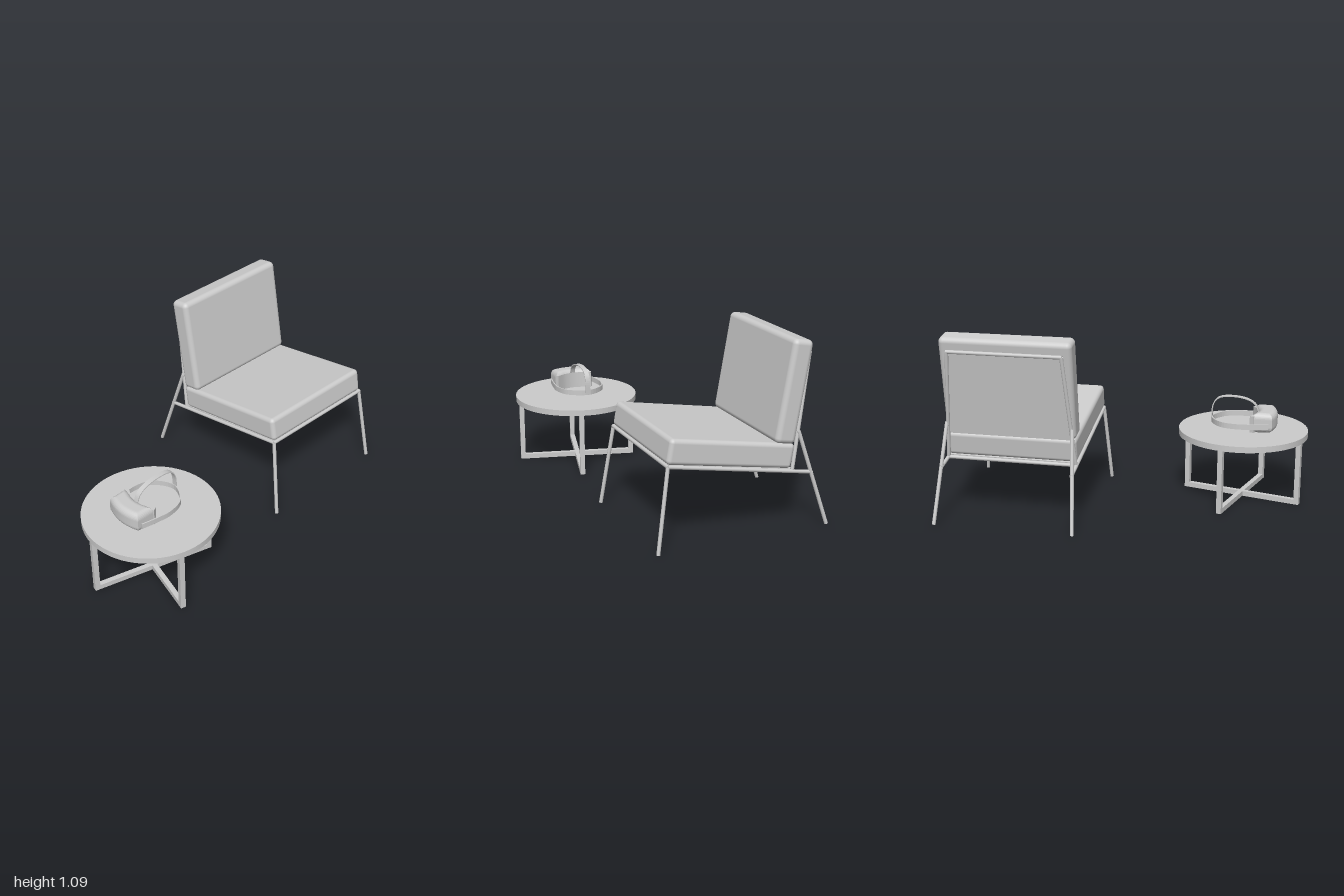
import * as THREE from 'three';
import { RoundedBoxGeometry } from 'three/addons/geometries/RoundedBoxGeometry.js';

const material = new THREE.MeshStandardMaterial({ color: 0xcccccc });
const TILT = THREE.MathUtils.degToRad(-10);

function add(parent, name, geometry, x = 0, y = 0, z = 0) {
  const mesh = new THREE.Mesh(geometry, material);
  mesh.name = name;
  mesh.position.set(x, y, z);
  parent.add(mesh);
  return mesh;
}

// Round bar between two points
function bar(parent, name, a, b, radius = 0.011) {
  const from = new THREE.Vector3(...a), to = new THREE.Vector3(...b);
  const dir = to.clone().sub(from);
  const mesh = add(parent, name, new THREE.CylinderGeometry(radius, radius, dir.length(), 12));
  mesh.position.copy(from).add(to).multiplyScalar(0.5);
  mesh.quaternion.setFromUnitVectors(new THREE.Vector3(0, 1, 0), dir.normalize());
  return mesh;
}

// Flat strap following a 2D curve, extruded to its width and centred on it
function strap(points, thickness, width) {
  const curve = new THREE.SplineCurve(points.map(p => new THREE.Vector2(...p)));
  const outer = [], inner = [];
  for (let i = 0; i <= 48; i++) {
    const p = curve.getPoint(i / 48), t = curve.getTangent(i / 48);
    const n = new THREE.Vector2(-t.y, t.x).multiplyScalar(thickness / 2);
    outer.push(p.clone().add(n));
    inner.unshift(p.clone().sub(n));
  }
  const geometry = new THREE.ExtrudeGeometry(new THREE.Shape([...outer, ...inner]), { depth: width, bevelEnabled: false });
  return geometry.translate(0, 0, -width / 2);
}

function createChair() {
  const chair = new THREE.Group();
  chair.name = 'loungeChair';

  // Cushions and the panels behind them share one backward tilt
  add(chair, 'seatCushion', new RoundedBoxGeometry(0.77, 0.145, 0.77, 5, 0.025), 0, 0.494, -0.055).rotation.x = TILT;
  add(chair, 'backCushion', new RoundedBoxGeometry(0.77, 0.59, 0.125, 5, 0.03), 0, 0.795, -0.433).rotation.x = TILT;
  add(chair, 'seatPanel', new THREE.BoxGeometry(0.75, 0.008, 0.75), 0, 0.417, -0.045).rotation.x = TILT;
  const panel = new THREE.Shape([[-0.375, 0], [0.375, 0], [0.33, 0.51], [-0.33, 0.51]].map(p => new THREE.Vector2(...p)));
  add(chair, 'backPanel', new THREE.ExtrudeGeometry(panel, { depth: 0.006, bevelEnabled: false }), 0, 0.5, -0.455).rotation.x = TILT;

  // Frame sides
  for (const s of [-1, 1]) {
    bar(chair, 'frontLeg', [s * 0.416, 0.002, 0.402], [s * 0.38, 0.48, 0.33]);
    bar(chair, 'backLeg', [s * 0.408, 0.002, -0.648], [s * 0.37, 0.57, -0.468]);
    bar(chair, 'sideRail', [s * 0.38, 0.48, 0.33], [s * 0.384, 0.32, -0.555]);
    bar(chair, 'backUpright', [s * 0.38, 0.345, -0.428], [s * 0.33, 1.0, -0.545]);
  }
  // Cross rails
  bar(chair, 'frontRail', [-0.385, 0.48, 0.33], [0.385, 0.48, 0.33]);
  bar(chair, 'rearRail', [-0.385, 0.345, -0.428], [0.385, 0.345, -0.428]);
  bar(chair, 'topRail', [-0.335, 1.0, -0.545], [0.335, 1.0, -0.545]);
  return chair;
}

function createTable() {
  const table = new THREE.Group();
  table.name = 'sideTable';
  add(table, 'tableTop', new THREE.CylinderGeometry(0.388, 0.388, 0.036, 64), 0, 0.412, 0);

  // Two crossing U-shaped frames
  for (const turn of [0, Math.PI / 2]) {
    const frame = new THREE.Group();
    frame.name = 'legFrame';
    frame.rotation.y = turn;
    add(frame, 'baseBar', new THREE.BoxGeometry(0.74, 0.03, 0.03), 0, 0.015, 0);
    for (const s of [-1, 1]) {
      add(frame, 'tableLeg', new THREE.BoxGeometry(0.03, 0.365, 0.03), s * 0.355, 0.2125, 0);
    }
    table.add(frame);
  }
  return table;
}

function createHeadset() {
  const headset = new THREE.Group();
  headset.name = 'headset';

  // Visor: bowed front and hollowed rear, with well-rounded edges
  const visor = new THREE.Shape();
  visor.moveTo(-0.085, 0.135);
  visor.quadraticCurveTo(0, 0.165, 0.085, 0.135);
  visor.lineTo(0.09, 0.085);
  visor.quadraticCurveTo(0, 0.125, -0.09, 0.085);
  const body = new THREE.ExtrudeGeometry(visor, {
    depth: 0.045, bevelThickness: 0.038, bevelSize: 0.035, bevelSegments: 8, curveSegments: 20,
  });
  add(headset, 'visor', body.rotateX(Math.PI / 2), 0, 0.522, 0);

  // Face cushion along the hollow rear of the visor
  const rim = strap([[-0.118, 0.04], [-0.06, 0.07], [0, 0.08], [0.06, 0.07], [0.118, 0.04]], 0.026, 0.1);
  add(headset, 'faceCushion', rim.rotateX(Math.PI / 2), 0, 0.492, 0);

  // Head strap loop and the strap over the top
  const loop = strap([[-0.123, 0.14], [-0.14, 0.05], [-0.148, -0.05], [-0.112, -0.15], [0, -0.208],
    [0.112, -0.15], [0.148, -0.05], [0.14, 0.05], [0.123, 0.14]], 0.007, 0.032);
  add(headset, 'headStrap', loop.rotateX(Math.PI / 2), 0, 0.482, 0);
  const arch = strap([[0.075, 0.53], [0.055, 0.58], [0.01, 0.612], [-0.06, 0.627], [-0.14, 0.625],
    [-0.185, 0.603], [-0.207, 0.555], [-0.21, 0.47]], 0.006, 0.03);
  add(headset, 'topStrap', arch.rotateY(-Math.PI / 2));
  return headset;
}

export function createModel() {
  const model = new THREE.Group();
  model.name = 'loungeSet';

  const chair = createChair();
  chair.position.set(0.388, 0, -0.224);
  chair.rotation.y = Math.PI / 6;

  const table = createTable();
  table.position.set(-0.587, 0, 0.61);
  table.rotation.y = Math.PI / 12;

  const headset = createHeadset();
  headset.position.set(-0.61, 0, 0.61);
  headset.rotation.y = -Math.PI / 3;

  model.add(chair, table, headset);
  return model;
}
